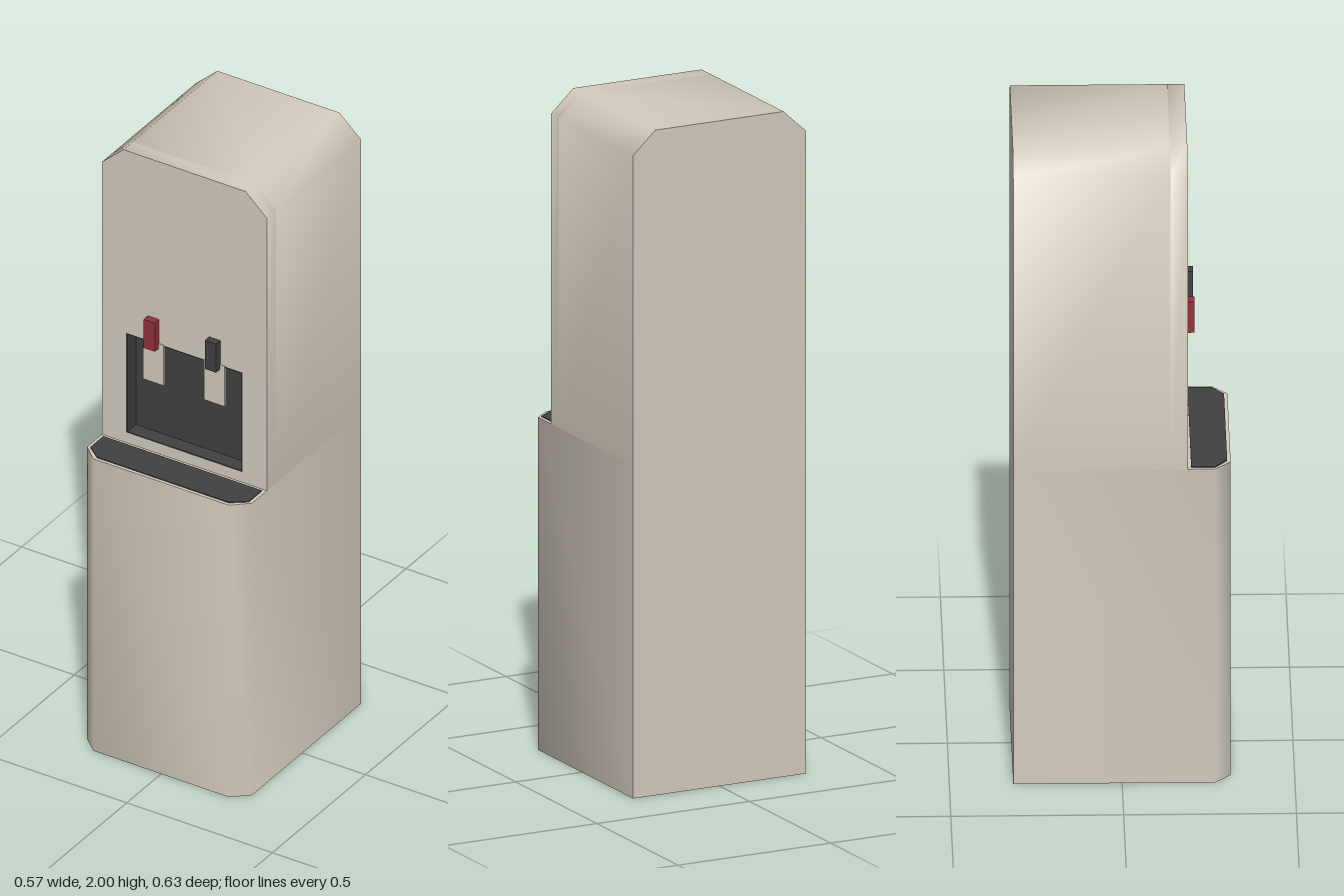
import * as THREE from 'three';
import { toCreasedNormals } from 'three/addons/utils/BufferGeometryUtils.js';

export function createModel() {
  const model = new THREE.Group();
  model.name = 'waterDispenser';

  const mat = (name, color) => {
    const m = new THREE.MeshStandardMaterial({ color });
    m.name = name;
    return m;
  };
  const shell = mat('warm beige', 0xd3cabd);
  const dark = mat('charcoal', 0x414141);
  const red = mat('hot red', 0x94323a);

  const add = (name, geometry, material, parent = model) => {
    const mesh = new THREE.Mesh(geometry, material);
    mesh.name = name;
    parent.add(mesh);
    return mesh;
  };
  // Box given by its two opposite corners
  const block = (name, [x0, y0, z0], [x1, y1, z1], material, parent) => {
    const g = new THREE.BoxGeometry(x1 - x0, y1 - y0, z1 - z0);
    g.translate((x0 + x1) / 2, (y0 + y1) / 2, (z0 + z1) / 2);
    return add(name, g, material, parent);
  };
  const outline = (pts) => new THREE.Shape(pts.map(([x, y]) => new THREE.Vector2(x, y)));
  const prism = (shape, depth) => new THREE.ExtrudeGeometry(shape, { depth, bevelEnabled: false });
  const soften = (g) => toCreasedNormals(g, Math.PI / 3);

  const W = 0.283, BACK = -0.315, FRONT = 0.315, FACE = 0.19, NOOK = 0.14;

  // Lower cabinet: plan outline with cut front corners, raised to the ledge
  const plan = outline([[-W, -BACK], [-W, -0.27], [-0.233, -FRONT], [0.233, -FRONT], [W, -0.27], [W, -BACK]]);
  add('lowerCabinet', soften(prism(plan, 1).rotateX(-Math.PI / 2)), shell);

  // Upper tower: solid rear, and a front panel pierced by the dispensing nook
  const tower = () => outline([[-W, 1], [W, 1], [W, 1.933], [0.21, 2], [-0.21, 2], [-W, 1.933]]);
  add('towerRear', soften(prism(tower(), NOOK - BACK).translate(0, 0, BACK)), shell);
  const pierced = tower();
  const nx = 0.2, ny0 = 1.035, ny1 = 1.376;
  pierced.holes.push(new THREE.Path(
    [[-nx, ny0], [-nx, ny1], [nx, ny1], [nx, ny0]].map(([x, y]) => new THREE.Vector2(x, y))));
  add('towerFront', soften(prism(pierced, FACE - NOOK).translate(0, 0, NOOK)), shell);

  // Dark lining of the nook
  const lining = new THREE.Group();
  lining.name = 'nookLining';
  model.add(lining);
  const t = 0.004;
  block('nookBack', [-nx, ny0, NOOK], [nx, ny1, NOOK + t], dark, lining);
  block('nookFloor', [-nx, ny0, NOOK], [nx, ny0 + t, FACE], dark, lining);
  block('nookCeiling', [-nx, ny1 - t, NOOK], [nx, ny1, FACE], dark, lining);
  block('nookWallRight', [-nx, ny0, NOOK], [-nx + t, ny1, FACE], dark, lining);
  block('nookWallLeft', [nx - t, ny0, NOOK], [nx, ny1, FACE], dark, lining);

  // Spout covers with the hot and cold levers above them
  for (const [name, x, material] of [['hot', -0.106, red], ['cold', 0.104, dark]]) {
    block(name + 'Spout', [x - 0.035, 1.24, 0.184], [x + 0.035, 1.378, 0.192], shell);
    block(name + 'Lever', [x - 0.019, 1.362, FACE], [x + 0.019, 1.46, 0.213], material);
  }

  // Drip tray on the ledge
  const tray = outline([[-0.272, -0.2], [-0.272, -0.27], [-0.226, -0.305], [0.226, -0.305], [0.272, -0.27], [0.272, -0.2]]);
  add('dripTray', prism(tray, 0.003).rotateX(-Math.PI / 2).translate(0, 1, 0), dark);

  return model;
}
